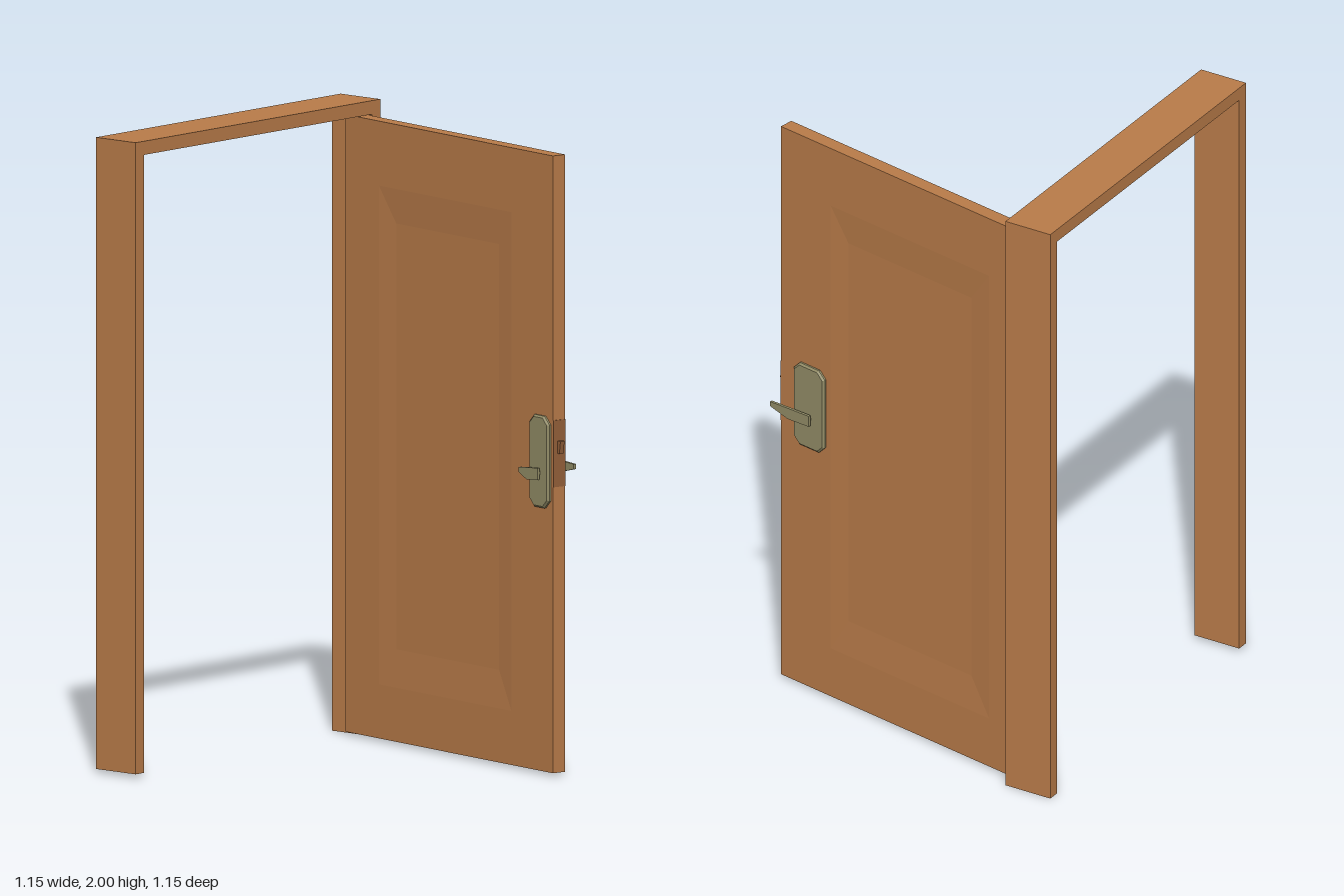
import * as THREE from 'three';

const mat = (name, color) => {
  const m = new THREE.MeshStandardMaterial({ color });
  m.name = name;
  return m;
};

function addMesh(parent, name, geometry, material) {
  const mesh = new THREE.Mesh(geometry, material);
  mesh.name = name;
  parent.add(mesh);
  return mesh;
}

// Closed solid from rectangular rings [x0, x1, y0, y1, z], running from back to front
function ringSolid(rings) {
  const pos = [], idx = [];
  for (const [x0, x1, y0, y1, z] of rings) pos.push(x0, y0, z, x1, y0, z, x1, y1, z, x0, y1, z);
  for (let i = 0; i < rings.length - 1; i++) {
    for (let j = 0; j < 4; j++) {
      const a = i * 4 + j, b = i * 4 + (j + 1) % 4;
      idx.push(a, b, b + 4, a, b + 4, a + 4);
    }
  }
  const n = (rings.length - 1) * 4;
  idx.push(0, 2, 1, 0, 3, 2, n, n + 1, n + 2, n, n + 2, n + 3);
  const g = new THREE.BufferGeometry();
  g.setAttribute('position', new THREE.Float32BufferAttribute(pos, 3));
  g.setIndex(idx);
  const flat = g.toNonIndexed();
  flat.computeVertexNormals();
  return flat;
}

// Polygon outline extruded along z
function extrude(points, depth, bevel = 0) {
  const shape = new THREE.Shape(points.map(([x, y]) => new THREE.Vector2(x, y)));
  return new THREE.ExtrudeGeometry(shape, {
    depth, bevelEnabled: bevel > 0, bevelSize: bevel, bevelThickness: bevel,
    bevelOffset: -bevel, bevelSegments: 1,
  });
}

// Handle lying on z = 0 and facing +z; dir is the way the lever points along x
function makeHandle(name, metal, width, leverLength, dir) {
  const handle = new THREE.Group();
  handle.name = name;
  const w = width / 2, h = 0.145, c = 0.025;
  const outline = [[-w + c, -h], [w - c, -h], [w, -h + c], [w, h - c],
    [w - c, h], [-w + c, h], [-w, h - c], [-w, -h + c]];
  addMesh(handle, 'backPlate', extrude(outline, 0.006, 0.006), metal);

  const spindle = addMesh(handle, 'spindle', new THREE.CylinderGeometry(0.012, 0.012, 0.02, 10), metal);
  spindle.rotation.x = Math.PI / 2;
  spindle.position.set(0, -0.035, 0.015);

  // Tapered lever
  const L = leverLength;
  let lever = [[-0.015, -0.055], [L * 0.5, -0.06], [L, -0.042], [L, -0.026], [L * 0.5, -0.022], [-0.015, -0.018]];
  if (dir < 0) lever = lever.map(([x, y]) => [-x, y]).reverse();
  addMesh(handle, 'lever', extrude(lever, 0.009), metal).position.z = 0.017;
  return handle;
}

export function createModel() {
  const root = new THREE.Group();
  root.name = 'doorWithFrame';
  const wood = mat('wood', 0xb87b49);
  const darkWood = mat('darkWood', 0x94603a);
  const metal = mat('handleMetal', 0x928c66);

  // Door frame: two posts and a header
  const frame = extrude([
    [-0.577, 0.012], [-0.537, 0.012], [-0.537, 1.957], [0.537, 1.957],
    [0.537, 0], [0.577, 0], [0.577, 2], [-0.577, 2],
  ], 0.164);
  addMesh(root, 'frame', frame, wood).position.z = -0.573;

  // Open door: local x runs from the hinge to the free edge
  const door = new THREE.Group();
  door.name = 'door';
  door.position.set(0.525, 0, -0.483);
  door.rotation.y = -1.76;
  root.add(door);

  // Leaf with a shallow sunken panel on both sides
  const W = 1.05, T = 0.024;
  const edge = z => [0, W, 0.01, 1.953, z];
  const panel = z => [0.17, 0.84, 0.18, 1.75, z];
  const sunk = z => [0.25, 0.77, 0.30, 1.64, z];
  addMesh(door, 'leaf', ringSolid([
    sunk(-T + 0.006), panel(-T), edge(-T), edge(T), panel(T), sunk(T - 0.006),
  ]), wood);

  // Handles on both sides
  const outer = makeHandle('outerHandle', metal, 0.13, 0.148, -1);
  outer.position.set(0.924, 1.005, -T);
  outer.rotation.y = Math.PI;
  door.add(outer);
  const inner = makeHandle('innerHandle', metal, 0.1, 0.08, -1);
  inner.position.set(0.99, 0.985, T);
  door.add(inner);

  // Latch on the free edge
  const plate = addMesh(door, 'latchPlate', new THREE.BoxGeometry(0.004, 0.21, 0.046), darkWood);
  plate.position.set(W + 0.001, 1.015, 0);
  const bolt = extrude([[0, -0.02], [0.012, -0.02], [0.018, 0.02], [0, 0.02]], 0.016);
  addMesh(door, 'latchBolt', bolt, darkWood).position.set(W, 1.035, -0.008);
  return root;
}
